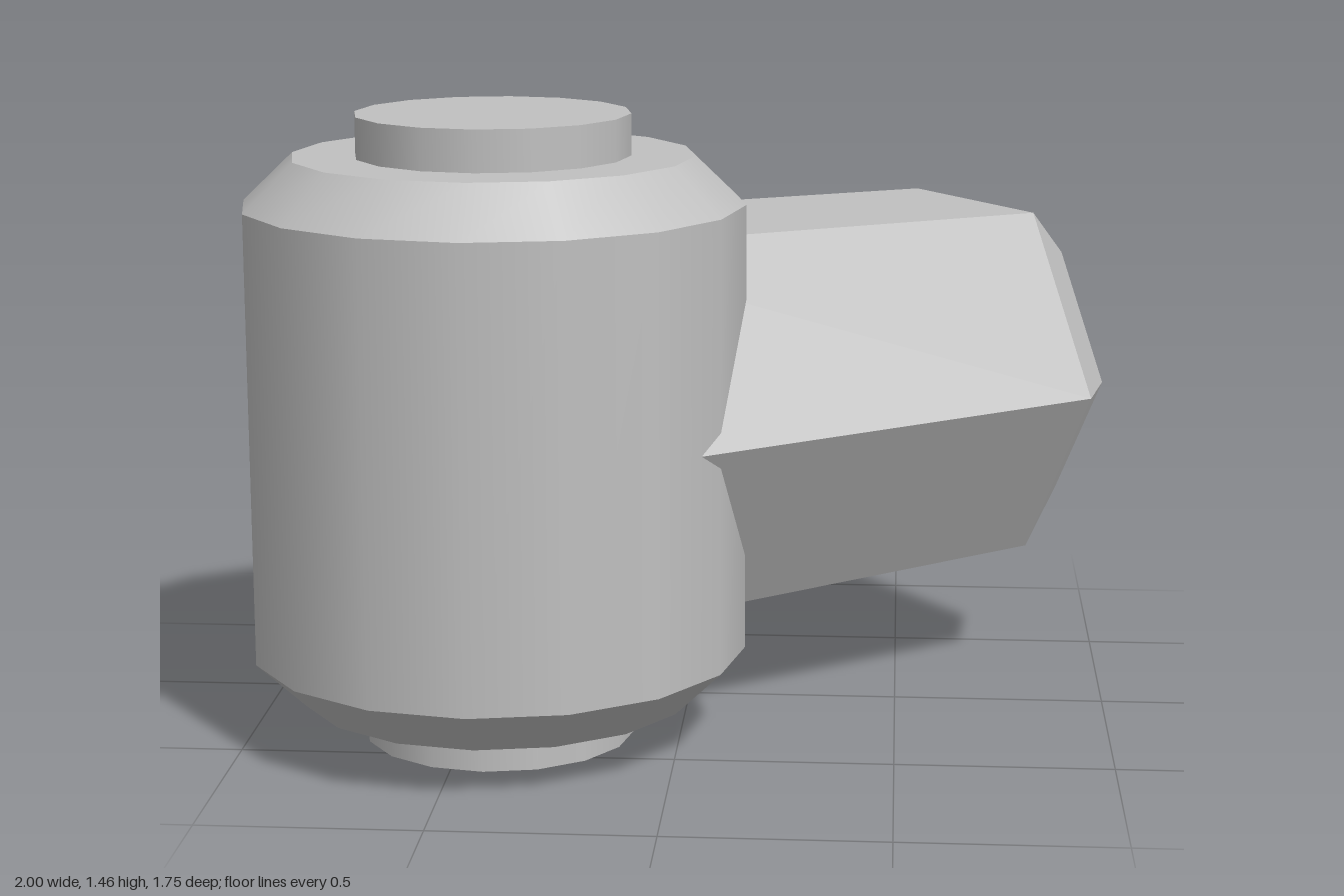
import * as THREE from 'three';

export function createModel() {
  const model = new THREE.Group();
  model.name = 'pivotJoint';

  const grey = new THREE.MeshStandardMaterial({ color: 0xc0c0c0 });
  grey.name = 'grey metal';
  const flatGrey = grey.clone();
  flatGrey.flatShading = true;

  // One ring of a turned part, standing from y0 to y1
  function ring(parent, name, rBottom, rTop, y0, y1, sides, open, material) {
    const geometry = new THREE.CylinderGeometry(rTop, rBottom, y1 - y0, sides, 1, open);
    geometry.translate(0, (y0 + y1) / 2, 0);
    const mesh = new THREE.Mesh(geometry, material);
    mesh.name = name;
    parent.add(mesh);
    return mesh;
  }

  // Flat annulus closing a chamfer around the pin
  function shoulder(parent, name, y, up) {
    const geometry = new THREE.RingGeometry(0.315, 0.46, 16);
    geometry.rotateX(up ? -Math.PI / 2 : Math.PI / 2);
    geometry.translate(0, y, 0);
    const mesh = new THREE.Mesh(geometry, grey);
    mesh.name = name;
    parent.add(mesh);
  }

  // Upright barrel with chamfered rims and a pin through it
  const barrel = new THREE.Group();
  barrel.name = 'barrel';
  barrel.position.set(-0.425, 0, 0.3);
  ring(barrel, 'pin', 0.315, 0.315, 0, 1.455, 16, false, grey);
  ring(barrel, 'lowerChamfer', 0.46, 0.575, 0.1, 0.21, 16, true, grey);
  ring(barrel, 'barrelWall', 0.575, 0.575, 0.21, 1.25, 16, true, grey);
  ring(barrel, 'upperChamfer', 0.575, 0.46, 1.25, 1.36, 16, true, grey);
  shoulder(barrel, 'lowerShoulder', 0.1, false);
  shoulder(barrel, 'upperShoulder', 1.36, true);
  model.add(barrel);

  // Tapered hexagonal arm pointing back and to the side
  const arm = new THREE.Group();
  arm.name = 'arm';
  arm.position.set(-0.425, 0.73, 0.3);
  arm.rotation.set(0, THREE.MathUtils.degToRad(35.35), -Math.PI / 2);
  arm.rotation.order = 'YXZ';
  ring(arm, 'armShaft', 0.518, 0.484, 0, 1.355, 6, true, flatGrey);
  const tip = ring(arm, 'armTip', 0.484, 0.346, 1.355, 1.5, 6, false, flatGrey);
  tip.geometry.clearGroups();
  model.add(arm);

  return model;
}
